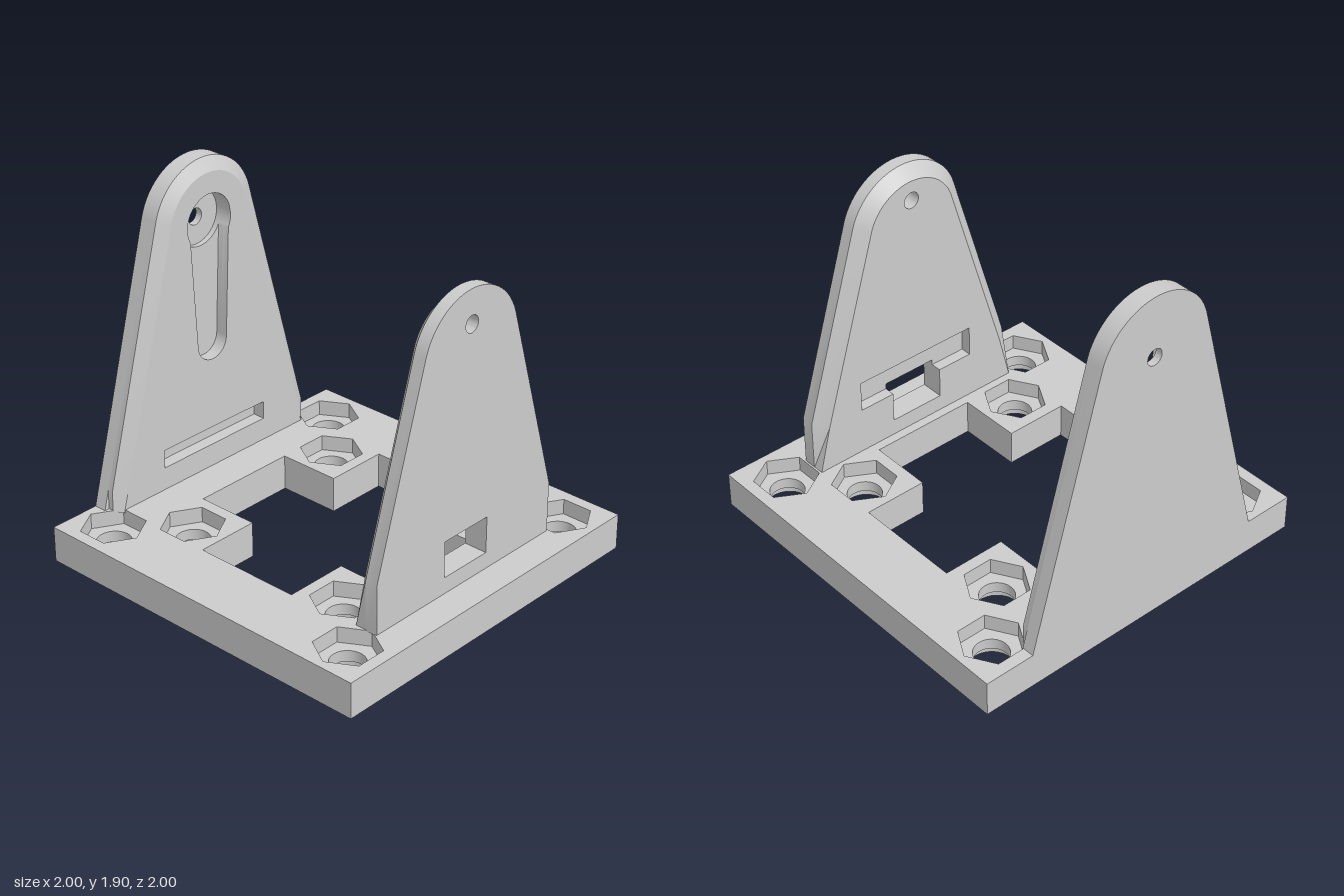
import * as THREE from 'three';
import { toCreasedNormals } from 'three/addons/utils/BufferGeometryUtils.js';

const material = new THREE.MeshStandardMaterial({ color: 0xcccccc });
const BASE_H = 0.195, PIVOT_Y = 1.57;

const poly = (pts) => new THREE.Path(pts.map(([x, y]) => new THREE.Vector2(x, y)));
const rect = (w, y0, y1) => poly([[-w, y0], [w, y0], [w, y1], [-w, y1]]);
const circle = (x, y, r) => new THREE.Path().absarc(x, y, r, 0, Math.PI * 2, false);
const hexagon = (x, y, r, turn) => poly(Array.from({ length: 6 }, (_, i) => {
  const a = turn + i * Math.PI / 3;
  return [x + r * Math.cos(a), y + r * Math.sin(a)];
}));

function slab(shape, holes, from, to) {
  shape.holes = holes;
  const geo = new THREE.ExtrudeGeometry(shape, { depth: to - from, bevelEnabled: false, curveSegments: 32 });
  return geo.translate(0, 0, from);
}

function addMesh(group, name, geo) {
  const mesh = new THREE.Mesh(toCreasedNormals(geo, 0.5), material);
  mesh.name = name;
  group.add(mesh);
}

// Base plate: three layers give counterbores, screw holes and nut pockets
function basePlate() {
  const group = new THREE.Group();
  group.name = 'basePlate';
  const square = () => new THREE.Shape([[-1, -1], [1, -1], [1, 1], [-1, 1]].map(p => new THREE.Vector2(...p)));
  const a = 0.3, b = 0.65;
  const cross = () => poly([[a, -b], [a, -a], [b, -a], [b, a], [a, a], [a, b],
    [-a, b], [-a, a], [-b, a], [-b, -a], [-a, -a], [-a, -b]]);
  const screws = [];
  for (const d of [0.79, 0.51])
    for (const sx of [-1, 1]) for (const sz of [-1, 1]) screws.push([sx * d, -sz * d, sx * sz]);
  const round = (r) => screws.map(([x, y]) => circle(x, y, r));
  const blind = () => [circle(0, 0.83, 0.085), circle(-0.82, 0, 0.085)];
  const nuts = screws.map(([x, y, s]) => hexagon(x, y, 0.168, s > 0 ? Math.PI / 2 : 0));
  const layers = [
    ['counterboreLayer', 0, 0.05, [...round(0.12), ...blind()]],
    ['screwHoleLayer', 0.05, 0.11, [...round(0.09), ...blind()]],
    ['nutPocketLayer', 0.11, BASE_H, nuts],
  ];
  for (const [name, y0, y1, holes] of layers)
    addMesh(group, name, slab(square(), [cross(), ...holes], y0, y1).rotateX(-Math.PI / 2));
  return group;
}

// Tapered upright with a round top; each layer is [from, to, holes, clip, chamfer]
function upright(name, yc, layers) {
  const group = new THREE.Group();
  group.name = name;
  const r = 0.335, foot = 0.72, y0 = 0.19;
  const dy = y0 - yc;
  const phi = Math.atan2(dy, foot) + Math.acos(r / Math.hypot(foot, dy));
  const c = Math.cos(phi), s = Math.sin(phi);

  const outline = (clip) => {
    const yClip = yc + (r - clip * c) / s;
    const shape = new THREE.Shape();
    shape.moveTo(-clip, y0);
    shape.lineTo(clip, y0);
    if (clip < foot) shape.lineTo(clip, yClip);
    shape.absarc(0, yc, r, phi, Math.PI - phi, false);
    if (clip < foot) shape.lineTo(-clip, yClip);
    shape.closePath();
    return shape;
  };

  // Pull the outer rim of the inner face inwards to form the chamfer
  const chamferRim = (geo, z, inset) => {
    const p = geo.attributes.position;
    for (let i = 0; i < p.count; i++) {
      if (Math.abs(p.getZ(i) - z) > 1e-4) continue;
      const x = p.getX(i), y = p.getY(i) - yc, side = Math.sign(x) || 1;
      const angle = Math.max(phi, Math.atan2(y, Math.abs(x)));
      const nx = Math.cos(angle), ny = Math.sin(angle);
      const over = Math.abs(x) * nx + y * ny - r + inset;
      if (over > 0) p.setXY(i, x - side * nx * over, y + yc - ny * over);
    }
  };

  layers.forEach(([from, to, holes, clip, inset], i) => {
    const geo = slab(outline(clip), holes, from, to);
    if (inset) chamferRim(geo, to, inset);
    addMesh(group, `${name}Layer${i + 1}`, geo);
  });
  return group;
}

export function createModel() {
  const model = new THREE.Group();
  model.name = 'mountingBracket';
  model.add(basePlate());

  const pivot = () => circle(0, PIVOT_Y, 0.045);
  const slit = () => rect(0.36, 0.32, 0.42);

  // Recess for a lever arm: round head with a narrowing slot below it
  const keyhole = () => {
    const path = new THREE.Path();
    path.absarc(0, PIVOT_Y, 0.15, -0.5, Math.PI + 0.5, false);
    path.absarc(0, 0.91, 0.1, Math.PI, Math.PI * 2, false);
    path.closePath();
    return path;
  };

  // Tall rear upright, recessed side facing forward
  const rear = upright('rearUpright', PIVOT_Y, [
    [0, 0.04, [pivot()], 0.72, 0],
    [0.04, 0.07, [circle(0, PIVOT_Y, 0.15)], 0.72, 0],
    [0.07, 0.1, [keyhole(), slit()], 0.69, 0],
    [0.1, 0.14, [keyhole(), slit()], 0.69, 0.07],
  ]);
  rear.position.z = -1;
  model.add(rear);

  // Shorter front upright, turned so its chamfered side faces the rear
  const w = 0.155, wide = 0.36;
  const tSlot = poly([[-w, 0.285], [w, 0.285], [w, 0.455], [wide, 0.455],
    [wide, 0.625], [-wide, 0.625], [-wide, 0.455], [-w, 0.455]]);
  const front = upright('frontUpright', 1.415, [
    [0, 0.07, [pivot(), rect(w, 0.285, 0.485)], 0.635, 0],
    [0.07, 0.13, [pivot(), tSlot], 0.635, 0.07],
  ]);
  front.rotation.y = Math.PI;
  front.position.z = 0.83;
  model.add(front);

  return model;
}
